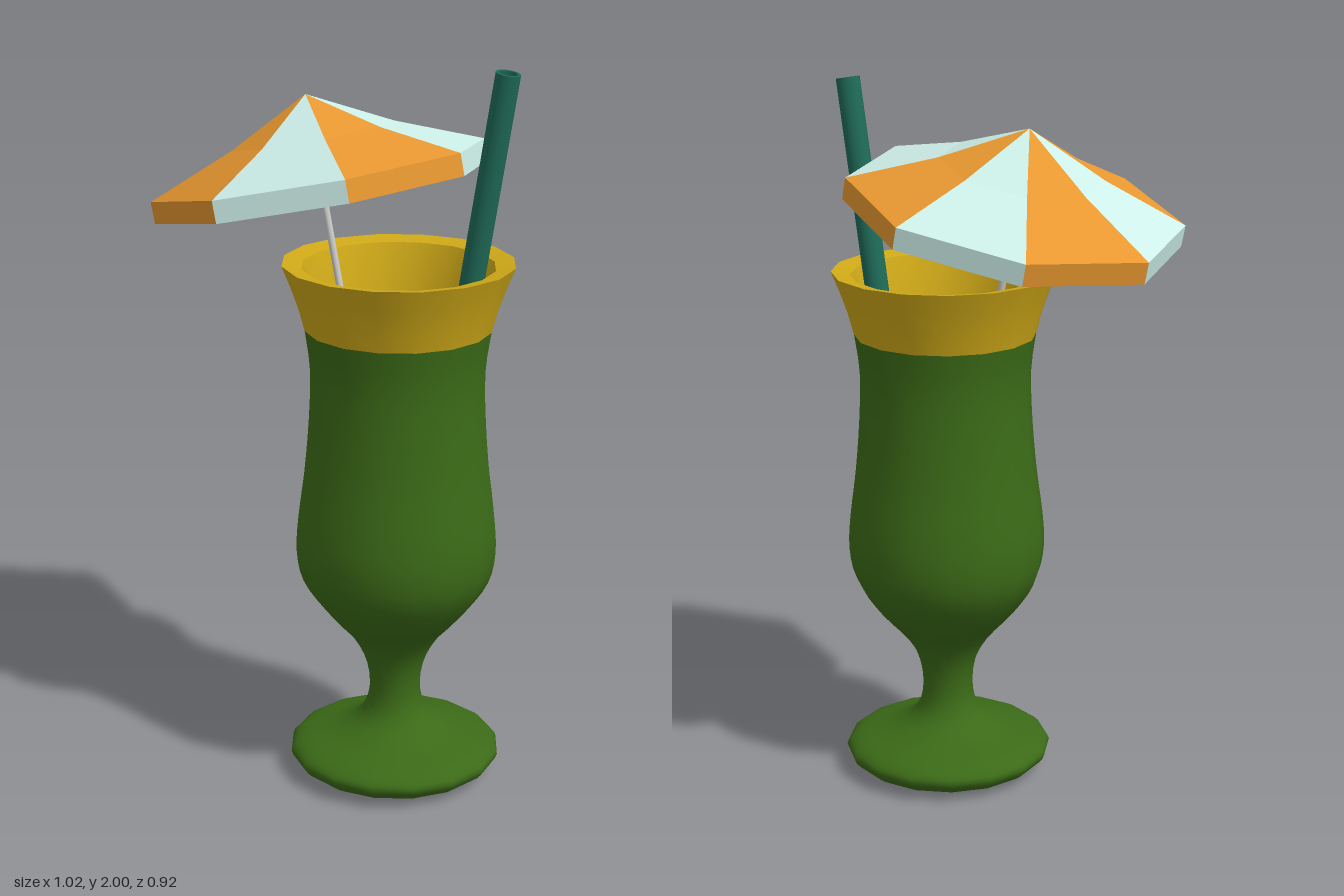
import * as THREE from 'three';

const GREEN = 0x3b6a17, YELLOW = 0xcfa918, TEAL = 0x1f6b58, ORANGE = 0xe89830, PALE = 0xcdeee8;
const GLASS_X = 0.19, GLASS_Z = -0.015, SIDES = 16;

function addMesh(parent, name, geometry, color, options = {}) {
  const mesh = new THREE.Mesh(geometry, new THREE.MeshStandardMaterial({ color, ...options }));
  mesh.name = name;
  parent.add(mesh);
  return mesh;
}

const vecs = (pairs) => pairs.map(([r, y]) => new THREE.Vector2(r, y));
const lathe = (points, sides = SIDES) => new THREE.LatheGeometry(points, sides);

// Stemmed glass with flared rim and drink
function createGlass() {
  const glass = new THREE.Group();
  glass.name = 'glass';
  glass.position.set(GLASS_X, 0, GLASS_Z);

  const body = new THREE.SplineCurve(vecs([
    [0.2, 0.005], [0.265, 0.022], [0.297, 0.06], [0.265, 0.092], [0.17, 0.122], [0.1, 0.165],
    [0.073, 0.23], [0.08, 0.32], [0.12, 0.4], [0.2, 0.49], [0.26, 0.58], [0.279, 0.67],
    [0.274, 0.77], [0.257, 0.9], [0.244, 1.05], [0.24, 1.19], [0.254, 1.3],
  ]));
  addMesh(glass, 'glassBody', lathe(body.getPoints(48)), GREEN);
  addMesh(glass, 'footUnderside', lathe(vecs([[0, 0], [0.2, 0.005]])), GREEN);

  // Rim: outside, lip and inside kept separate so the edges stay sharp
  addMesh(glass, 'rimOutside', lathe(vecs([[0.254, 1.3], [0.27, 1.36], [0.291, 1.42], [0.315, 1.48]])), YELLOW);
  addMesh(glass, 'rimLip', lathe(vecs([[0.315, 1.48], [0.262, 1.47]])), YELLOW);
  addMesh(glass, 'rimInside', lathe(vecs([[0.262, 1.47], [0.235, 1.39], [0.212, 1.28]])), YELLOW);
  const drink = addMesh(glass, 'drink', new THREE.CircleGeometry(0.214, SIDES), TEAL);
  drink.rotation.x = -Math.PI / 2;
  drink.position.y = 1.29;
  return glass;
}

// Hollow leaning straw
function createStraw() {
  const length = 0.85;
  const straw = new THREE.Group();
  straw.name = 'straw';
  straw.position.set(0.456, 1.995, -0.114);
  straw.rotation.z = -0.17;
  const shape = new THREE.Shape().absarc(0, 0, 0.033, 0, Math.PI * 2);
  shape.holes.push(new THREE.Path().absarc(0, 0, 0.025, 0, Math.PI * 2, true));
  const geometry = new THREE.ExtrudeGeometry(shape, { depth: length, bevelEnabled: false, curveSegments: 16 });
  geometry.rotateX(Math.PI / 2);
  addMesh(straw, 'strawTube', geometry, TEAL);
  return straw;
}

// Every second panel of the canopy, from apex through the kink to the hanging edge
function canopyPanels(first) {
  const rows = [[0, 0.205], [0.225, 0.092], [0.46, 0], [0.46, -0.06]];
  const positions = [];
  const corner = (row, k) => {
    const a = (k * Math.PI) / 4;
    return [rows[row][0] * Math.cos(a), rows[row][1], rows[row][0] * Math.sin(a)];
  };
  for (let k = first; k < 8; k += 2) {
    for (let i = 0; i < rows.length - 1; i++) {
      positions.push(...corner(i, k), ...corner(i + 1, k + 1), ...corner(i + 1, k));
      if (i > 0) positions.push(...corner(i, k), ...corner(i, k + 1), ...corner(i + 1, k + 1));
    }
  }
  const geometry = new THREE.BufferGeometry();
  geometry.setAttribute('position', new THREE.Float32BufferAttribute(positions, 3));
  geometry.computeVertexNormals();
  return geometry;
}

// Tilted paper umbrella on its stick
function createUmbrella() {
  const umbrella = new THREE.Group();
  umbrella.name = 'umbrella';
  umbrella.position.set(-0.061, 1.7, 0);
  umbrella.rotation.z = 0.218;
  const paper = { side: THREE.DoubleSide, flatShading: true };
  addMesh(umbrella, 'orangePanels', canopyPanels(0), ORANGE, paper);
  addMesh(umbrella, 'palePanels', canopyPanels(1), PALE, paper);
  const stick = addMesh(umbrella, 'umbrellaStick', new THREE.CylinderGeometry(0.01, 0.01, 0.63, 10), 0xcccccc);
  stick.position.y = -0.12;
  return umbrella;
}

export function createModel() {
  const model = new THREE.Group();
  model.name = 'cocktail';
  model.add(createGlass(), createStraw(), createUmbrella());
  return model;
}
